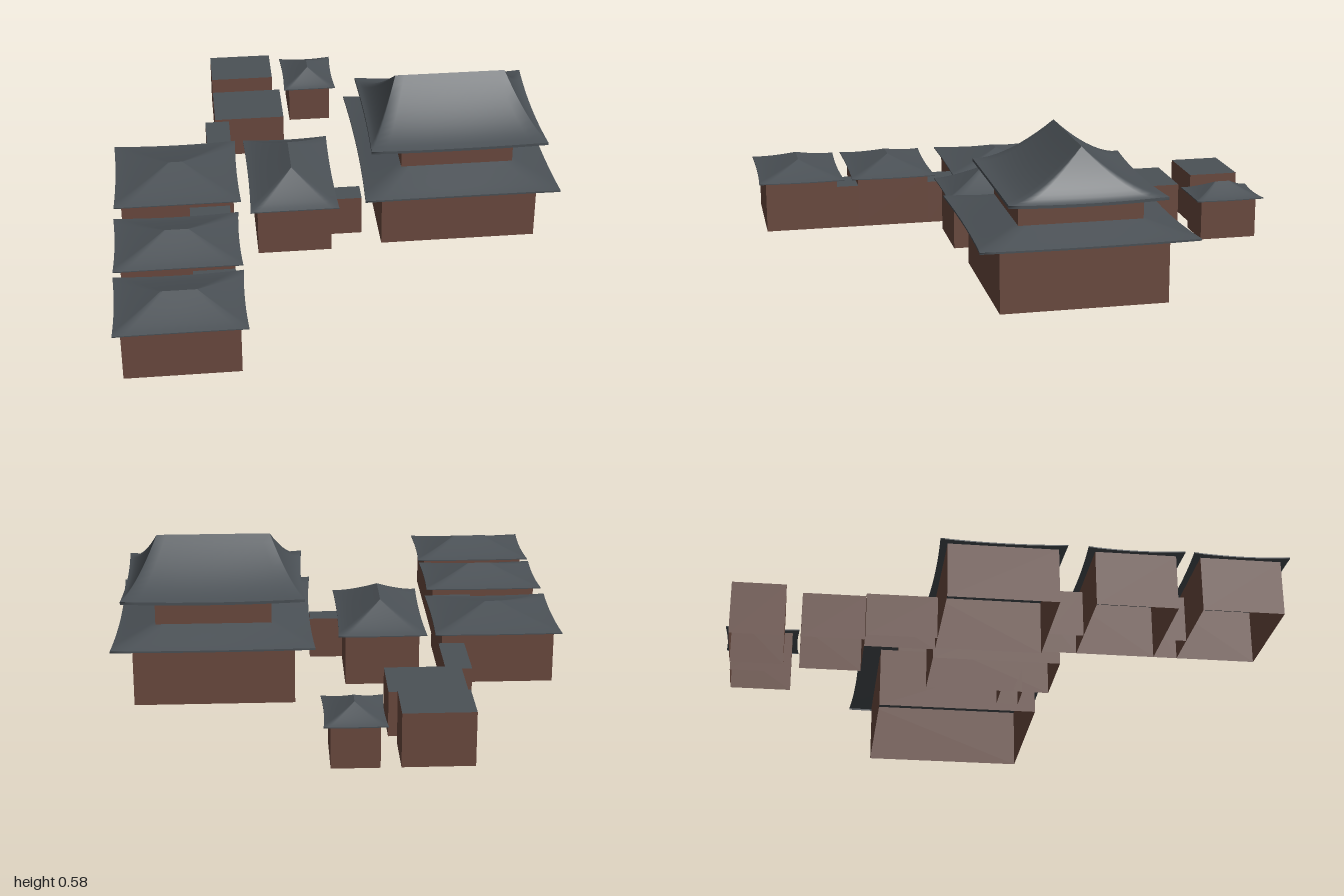
import * as THREE from 'three';

const wallMat = new THREE.MeshStandardMaterial({ color: 0x6b4a3f, side: THREE.DoubleSide });
wallMat.name = 'brown wall';
const roofMat = new THREE.MeshStandardMaterial({ color: 0x4b5156, side: THREE.DoubleSide });
roofMat.name = 'slate roof';

function add(parent, geo, mat, name) {
  const mesh = new THREE.Mesh(geo, mat);
  mesh.name = name;
  parent.add(mesh);
  return mesh;
}

// Four walls, open above and below
function walls(parent, name, [x0, x1], [z0, z1], y0, y1) {
  const geo = new THREE.BoxGeometry(x1 - x0, y1 - y0, z1 - z0);
  const index = Array.from(geo.index.array);
  geo.setIndex([...index.slice(0, 12), ...index.slice(24)]);
  geo.clearGroups();
  add(parent, geo, wallMat, name).position.set((x0 + x1) / 2, (y0 + y1) / 2, (z0 + z1) / 2);
}

// Flat-roofed block: walls with a slate lid
function flatBlock(parent, name, xs, zs, height) {
  const block = new THREE.Group();
  block.name = name;
  walls(block, 'walls', xs, zs, 0, height);
  const lid = new THREE.PlaneGeometry(xs[1] - xs[0], zs[1] - zs[0]).rotateX(-Math.PI / 2);
  add(block, lid, roofMat, 'flatRoof')
    .position.set((xs[0] + xs[1]) / 2, height, (zs[0] + zs[1]) / 2);
  parent.add(block);
}

// Skin between closed rings of points, listed from the outside in
function skinRings(rings) {
  const n = rings[0].length, index = [];
  for (let r = 0; r < rings.length - 1; r++) {
    for (let i = 0; i < n; i++) {
      const a = r * n + i, b = r * n + (i + 1) % n;
      index.push(a, b, b + n, a, b + n, a + n);
    }
  }
  const geo = new THREE.BufferGeometry();
  geo.setAttribute('position', new THREE.Float32BufferAttribute(rings.flat(2), 3));
  geo.setIndex(index);
  geo.computeVertexNormals();
  return geo;
}

// Hipped roof with a concave slope and swept-up, flared corners.
// outer and inner are half sizes [x, z] of the eave and of the ridge or opening.
function hipRoof(parent, name, { x, z, outer, inner, y0, y1, power, lift, flare, edge }) {
  const SEG = 12, ROWS = 10;
  const ring = (t, drop = 0) => {
    const hx = THREE.MathUtils.lerp(outer[0], inner[0], t);
    const hz = THREE.MathUtils.lerp(outer[1], inner[1], t);
    const fade = (1 - t) ** 2, points = [];
    for (let side = 0; side < 4; side++) {
      for (let i = 0; i < SEG; i++) {
        const s = 1 - 2 * i / SEG;
        const [u, v] = [[1, s], [s, -1], [-1, -s], [-s, 1]][side];
        const inset = flare * fade * (1 - s * s);
        const px = u * hx - (side % 2 ? 0 : u * inset);
        const pz = v * hz - (side % 2 ? v * inset : 0);
        points.push([x + px, y0 + (y1 - y0) * t ** power + lift * fade * s * s - drop, z + pz]);
      }
    }
    return points;
  };
  const roof = new THREE.Group();
  roof.name = name;
  const rows = Array.from({ length: ROWS + 1 }, (_, r) => ring(r / ROWS));
  add(roof, skinRings(rows), roofMat, 'roofSlope');
  add(roof, skinRings([ring(0, edge), ring(0)]), roofMat, 'eaveEdge');
  parent.add(roof);
}

// Single-storey hall: walls set in from the eaves, under a hipped roof
function hall(parent, name, xs, zs, y0, y1, ridge, overhang = 0.028) {
  const group = new THREE.Group();
  group.name = name;
  walls(group, 'walls', [xs[0] + overhang, xs[1] - overhang], [zs[0] + overhang, zs[1] - overhang], 0, y0);
  hipRoof(group, 'hippedRoof', {
    x: (xs[0] + xs[1]) / 2, z: (zs[0] + zs[1]) / 2,
    outer: [(xs[1] - xs[0]) / 2, (zs[1] - zs[0]) / 2], inner: ridge,
    y0: y0 + 0.002, y1, power: 1.2, lift: 0.004, flare: 0.006, edge: 0.004,
  });
  parent.add(group);
}

export function createModel() {
  const model = new THREE.Group();
  model.name = 'templeCompound';

  // Two-storey main hall
  const main = new THREE.Group();
  main.name = 'mainHall';
  walls(main, 'lowerWalls', [0.175, 0.785], [-0.39, 0.235], 0, 0.24);
  hipRoof(main, 'lowerRoof', {
    x: 0.48, z: -0.082, outer: [0.38, 0.402], inner: [0.22, 0.232],
    y0: 0.25, y1: 0.298, power: 1.1, lift: 0.008, flare: 0.013, edge: 0.007,
  });
  walls(main, 'upperWalls', [0.26, 0.70], [-0.314, 0.15], 0.238, 0.388);
  hipRoof(main, 'upperRoof', {
    x: 0.48, z: -0.08, outer: [0.345, 0.29], inner: [0.218, 0],
    y0: 0.4, y1: 0.578, power: 1.55, lift: 0.01, flare: 0.008, edge: 0.011,
  });
  model.add(main);

  // Side halls
  hall(model, 'frontHall', [-0.865, -0.387], [0.652, 1.0], 0.205, 0.265, [0.065, 0]);
  hall(model, 'middleHall', [-0.865, -0.387], [0.273, 0.62], 0.205, 0.265, [0.045, 0]);
  hall(model, 'rearHall', [-0.865, -0.372], [-0.25, 0.2], 0.205, 0.265, [0.027, 0]);
  hall(model, 'centreHall', [-0.34, 0.003], [-0.25, 0.285], 0.205, 0.298, [0, 0.095]);
  hall(model, 'smallShrine', [-0.135, 0.09], [-1.0, -0.72], 0.163, 0.217, [0, 0.03], 0.025);

  // Flat-roofed outbuildings and passages
  flatBlock(model, 'rearStore', [-0.445, -0.183], [-0.975, -0.775], 0.205);
  flatBlock(model, 'rearRoom', [-0.445, -0.155], [-0.715, -0.483], 0.175);
  flatBlock(model, 'rearPassage', [-0.487, -0.387], [-0.483, -0.222], 0.165);
  flatBlock(model, 'middlePassage', [-0.572, -0.415], [0.172, 0.301], 0.175);
  flatBlock(model, 'frontPassage', [-0.572, -0.415], [0.592, 0.68], 0.175);
  flatBlock(model, 'mainPassage', [-0.025, 0.105], [0.07, 0.155], 0.165);

  return model;
}
